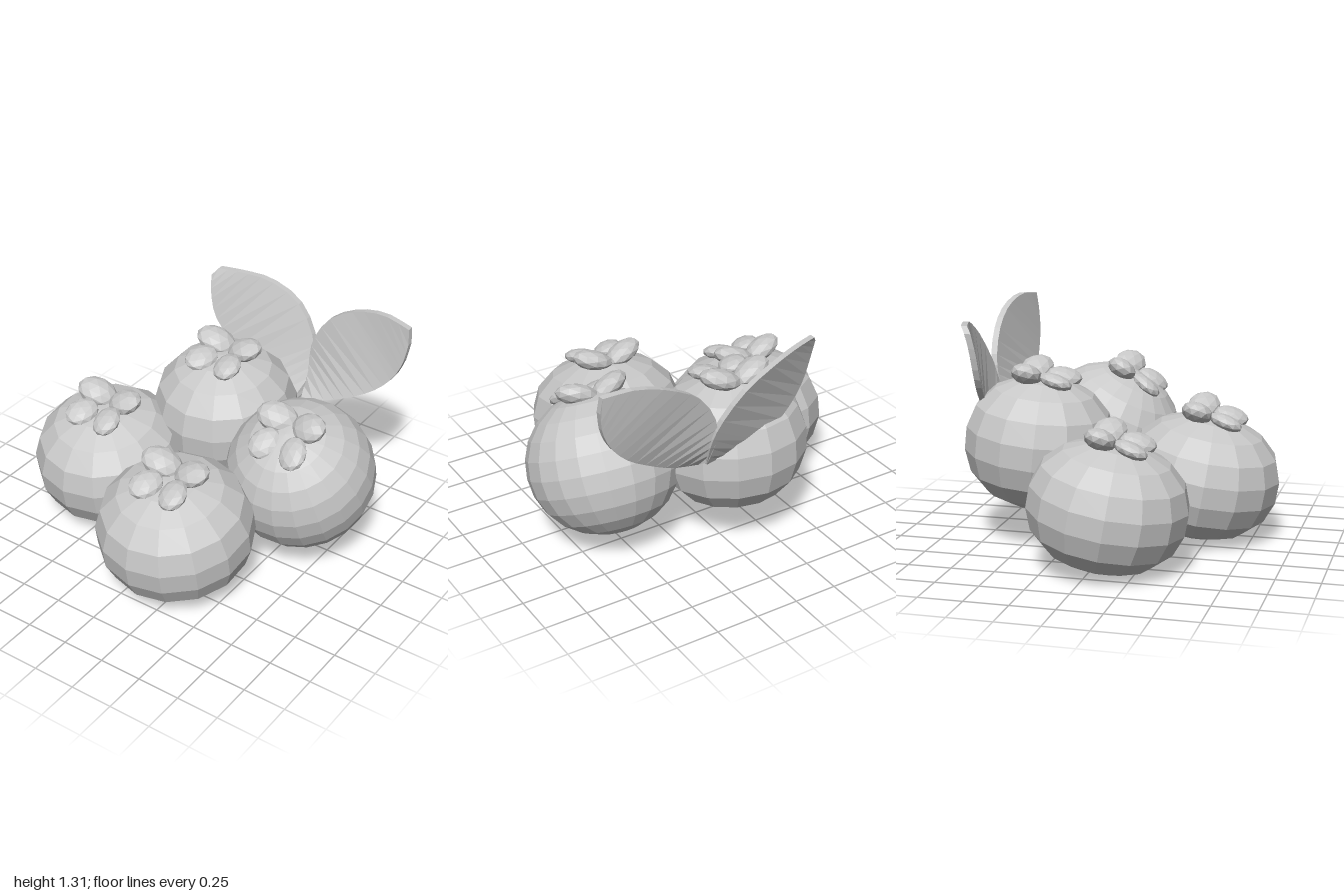
import * as THREE from 'three';

const grey = new THREE.MeshStandardMaterial({ color: 0xc8c8c8, flatShading: true });
grey.name = 'grey';

// Squashed sphere with slightly squared shoulders
function fruitGeometry(rx, ry, power, segments, rings) {
  const g = new THREE.SphereGeometry(1, segments, rings);
  const p = g.attributes.position;
  for (let i = 0; i < p.count; i++) {
    const x = p.getX(i), y = p.getY(i), z = p.getZ(i);
    const k = Math.pow(Math.pow(Math.hypot(x, z), power) + Math.pow(Math.abs(y), power), -1 / power);
    p.setXYZ(i, x * k * rx, y * k * ry, z * k * rx);
  }
  g.computeVertexNormals();
  return g;
}

function addSepal(parent, name, size, position, rotation) {
  const sepal = new THREE.Mesh(new THREE.IcosahedronGeometry(1, 1), grey);
  sepal.name = name;
  sepal.scale.set(...size);
  sepal.position.set(...position);
  sepal.rotation.set(...rotation);
  parent.add(sepal);
}

// Fruit with a crown of four plump sepals, leaning forward by tilt
function makeFruit({ name, at, rx, ry, crownY, tilt, power, segments, rings }) {
  const group = new THREE.Group();
  group.name = name;
  const body = new THREE.Mesh(fruitGeometry(rx, ry, power, segments, rings), grey);
  body.name = 'fruitBody';
  body.rotation.y = 0.2;
  group.add(body);
  const crown = new THREE.Group();
  crown.name = 'crown';
  crown.position.y = crownY;
  for (const s of [-1, 1]) {
    addSepal(crown, 'backSepal', [0.122, 0.06, 0.092], [s * 0.1, 0.03, -0.085], [0.15, -s * 0.15, s * 0.38]);
    addSepal(crown, 'frontSepal', [0.085, 0.045, 0.105], [s * 0.09, 0.012, 0.085], [0.1, s * 0.4, s * 0.2]);
  }
  group.add(crown);
  group.position.set(...at);
  group.rotation.x = tilt;
  return group;
}

// Thin closed leaf lofted between two curved edges
function makeLeaf(name, edgeA, edgeB) {
  const t = 0.018, steps = 14, pos = [], index = [];
  const [a, b] = [edgeA, edgeB].map((pts) =>
    new THREE.CatmullRomCurve3(pts.map((p) => new THREE.Vector3(...p))).getPoints(steps));
  for (let i = 0; i <= steps; i++) {
    for (const [q, d] of [[a[i], t], [b[i], t], [b[i], -t], [a[i], -t]]) pos.push(q.x, q.y, q.z + d);
  }
  const quad = (p, q, r, s) => index.push(p, q, r, p, r, s);
  for (let i = 0; i < steps; i++) {
    for (let k = 0; k < 4; k++) {
      const n = (k + 1) % 4;
      quad(i * 4 + k, i * 4 + n, i * 4 + 4 + n, i * 4 + 4 + k);
    }
  }
  const e = steps * 4;
  quad(3, 2, 1, 0);
  quad(e, e + 1, e + 2, e + 3);
  const g = new THREE.BufferGeometry();
  g.setAttribute('position', new THREE.Float32BufferAttribute(pos, 3));
  g.setIndex(index);
  g.computeVertexNormals();
  const leaf = new THREE.Mesh(g, grey);
  leaf.name = name;
  return leaf;
}

export function createModel() {
  const model = new THREE.Group();
  model.name = 'fruitCluster';

  const fruits = [
    { name: 'rightFruit', at: [-0.56, 0.36, 0.09], rx: 0.45, ry: 0.355, crownY: 0.35, tilt: 0.18, power: 2.25, segments: 14, rings: 9 },
    { name: 'frontFruit', at: [0.175, 0.37, 0.46], rx: 0.45, ry: 0.355, crownY: 0.35, tilt: 0.18, power: 2.25, segments: 14, rings: 9 },
    { name: 'leftFruit', at: [0.574, 0.515, -0.2], rx: 0.432, ry: 0.405, crownY: 0.37, tilt: 0.46, power: 2.05, segments: 20, rings: 12 },
    { name: 'backFruit', at: [-0.1, 0.58, -0.435], rx: 0.432, ry: 0.38, crownY: 0.37, tilt: 0.1, power: 2.2, segments: 14, rings: 9 },
  ];
  for (const f of fruits) model.add(makeFruit(f));

  // Two leaves fanning out from a shared base behind the fruit
  model.add(makeLeaf('rightLeaf',
    [[0.24, 0.66, -0.69], [0.06, 0.68, -0.72], [-0.12, 0.75, -0.74], [-0.27, 0.87, -0.73],
      [-0.36, 0.99, -0.72], [-0.4, 1.14, -0.73], [-0.41, 1.24, -0.75]],
    [[0.26, 0.68, -0.74], [0.28, 0.84, -0.81], [0.25, 0.97, -0.85], [0.12, 1.15, -0.885],
      [-0.08, 1.25, -0.87], [-0.25, 1.275, -0.82], [-0.38, 1.28, -0.78]]));
  model.add(makeLeaf('leftLeaf',
    [[0.26, 0.7, -0.75], [0.25, 0.85, -0.81], [0.26, 0.98, -0.83], [0.36, 1.15, -0.84],
      [0.53, 1.255, -0.84], [0.72, 1.305, -0.815], [0.9, 1.29, -0.78]],
    [[0.28, 0.66, -0.69], [0.45, 0.7, -0.7], [0.6, 0.77, -0.71], [0.74, 0.86, -0.73],
      [0.84, 0.97, -0.745], [0.89, 1.08, -0.755], [0.91, 1.2, -0.77]]));
  return model;
}
